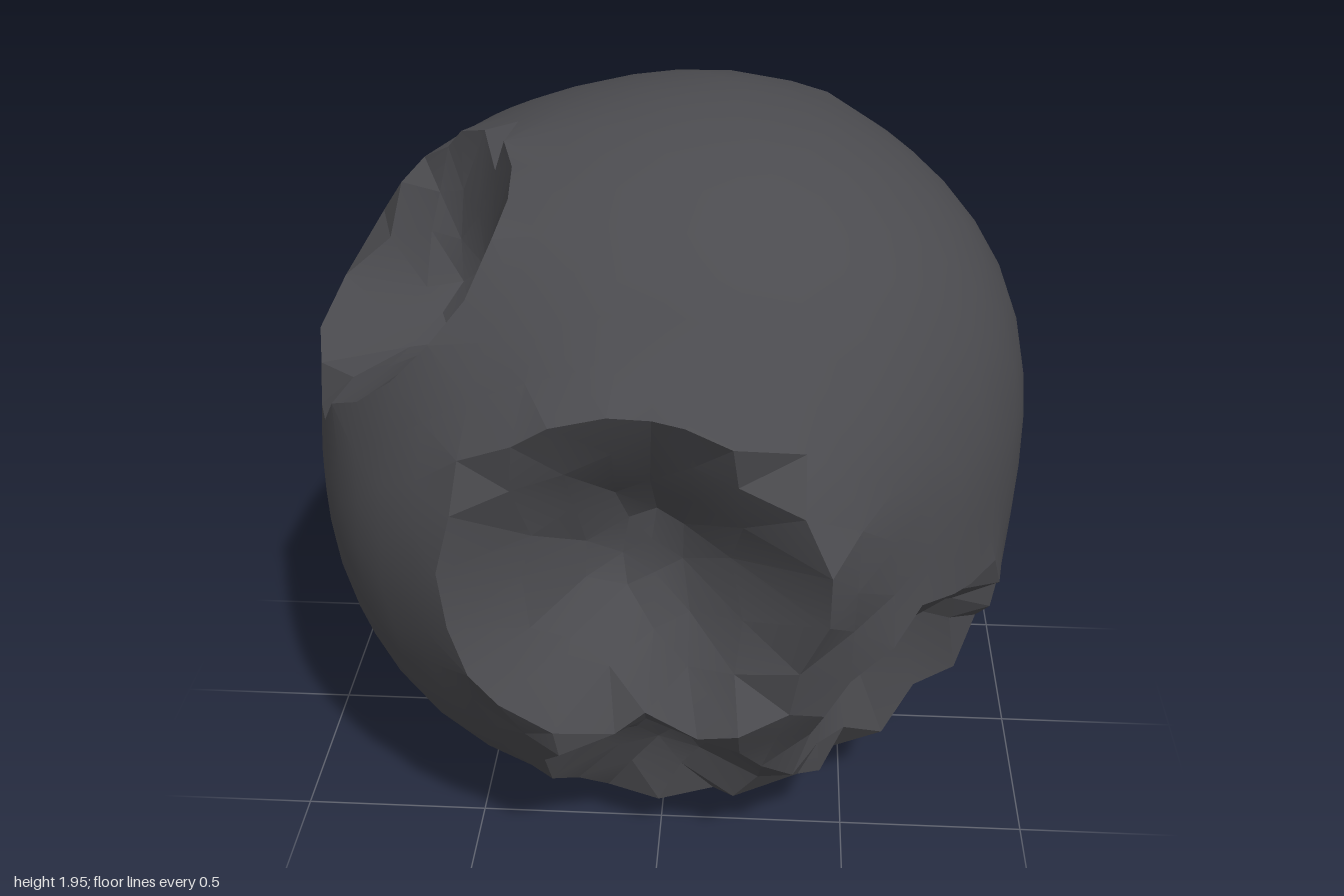
import * as THREE from 'three';
import { mergeVertices, toCreasedNormals } from 'three/addons/utils/BufferGeometryUtils.js';

const aim = list => list.map(c => ({ ...c, dir: new THREE.Vector3(...c.dir).normalize() }));

// Craters: direction from the core, radius, depth below the rim, rim height, central peak height
const CRATERS = aim([
  { dir: [-0.05, 0.04, 0.98], r: 0.46, depth: 0.23, rim: 0.04, peak: 0 },
  { dir: [-0.68, 0.63, 0.31], r: 0.4, depth: 0.19, rim: 0.015, peak: 0 },
  { dir: [0.63, -0.43, 0.57], r: 0.37, depth: 0.19, rim: 0.025, peak: 0 },
  { dir: [0.0, -0.58, 0.78], r: 0.28, depth: 0.12, rim: 0.01, peak: 0 },
  { dir: [0.38, 0.75, -0.56], r: 0.25, depth: 0.13, rim: 0.015, peak: 0 },
  { dir: [0.56, -0.54, -0.67], r: 0.65, depth: 0.27, rim: 0.025, peak: 0.14 },
  { dir: [-0.51, 0.2, -0.82], r: 0.22, depth: 0.09, rim: 0, peak: 0 },
  { dir: [-0.36, -0.88, 0.08], r: 0.27, depth: 0.02, rim: 0.01, peak: 0 },
]);

// Broad swells and hollows of the body: direction, reach, height
const SWELLS = aim([
  { dir: [0.9, 0.43, 0], r: 0.6, h: 0.025 },
  { dir: [0.4, 0.22, 0.9], r: 0.4, h: 0.05 },
  { dir: [-0.7, 0.05, 0.7], r: 0.5, h: 0.02 },
  { dir: [-0.3, 0.9, -0.3], r: 0.5, h: -0.025 },
  { dir: [0.3, -0.9, 0.3], r: 0.5, h: -0.025 },
]);

const smooth = THREE.MathUtils.smoothstep;

// Height of one crater above the body at u = distance / radius
function craterHeight(c, u) {
  if (u >= 1) return c.rim * (1 - smooth(u, 1, 1.3));
  const wall = Math.max(0, (u - 0.42) / 0.58);
  const sag = c.r * c.r / 2 * (1 - u * u);
  return c.rim - sag - c.depth * (1 - wall) + c.peak * (1 - smooth(u, 0.2, 0.44));
}

// Body: a rounded ball slightly flattened along its axes, narrowest from side to side
function bodyRadius(d) {
  const p = 2.18;
  const sum = (Math.abs(d.x) / 0.95) ** p + (Math.abs(d.y) / 0.975) ** p + (Math.abs(d.z) / 0.97) ** p;
  return SWELLS.reduce((r, s) => r + s.h * (1 - smooth(d.distanceTo(s.dir), 0, s.r)), sum ** (-1 / p));
}

function makeRockGeometry() {
  let seed = 11;
  const rand = () => (seed = (seed * 16807) % 2147483647) / 2147483647 - 0.5;

  const ico = new THREE.IcosahedronGeometry(1, 8);
  ico.deleteAttribute('normal');
  ico.deleteAttribute('uv');
  const geo = mergeVertices(ico, 1e-4);
  const pos = geo.attributes.position;
  const d = new THREE.Vector3();

  for (let i = 0; i < pos.count; i++) {
    d.fromBufferAttribute(pos, i);
    d.x += rand() * 0.035; d.y += rand() * 0.035; d.z += rand() * 0.035;
    d.normalize();

    // Slide nearby vertices onto the rim so that its edge is crisp
    for (const c of CRATERS) {
      const dist = d.distanceTo(c.dir);
      if (Math.abs(dist - c.r) < 0.045) {
        const side = d.clone().addScaledVector(c.dir, -d.dot(c.dir)).normalize();
        const a = 2 * Math.asin(c.r / 2);
        d.copy(c.dir).multiplyScalar(Math.cos(a)).addScaledVector(side, Math.sin(a));
      }
    }

    // The deepest dip wins, otherwise the highest rim
    let dip = 0, rim = 0, near = 0;
    for (const c of CRATERS) {
      const u = d.distanceTo(c.dir) / c.r;
      const h = craterHeight(c, u);
      dip = Math.min(dip, h);
      rim = Math.max(rim, h);
      if (u < 1.05) near = 1;
    }
    const s = bodyRadius(d) + (dip < 0 ? dip : rim) + near * rand() * 0.035;
    pos.setXYZ(i, d.x * s, d.y * s + 0.98, d.z * s);
  }
  return toCreasedNormals(geo, 0.26);
}

export function createModel() {
  const group = new THREE.Group();
  group.name = 'asteroid';
  const stone = new THREE.MeshStandardMaterial({ color: 0x4b4b4f });
  stone.name = 'dark grey stone';
  const rock = new THREE.Mesh(makeRockGeometry(), stone);
  rock.name = 'crateredRock';
  group.add(rock);
  return group;
}
